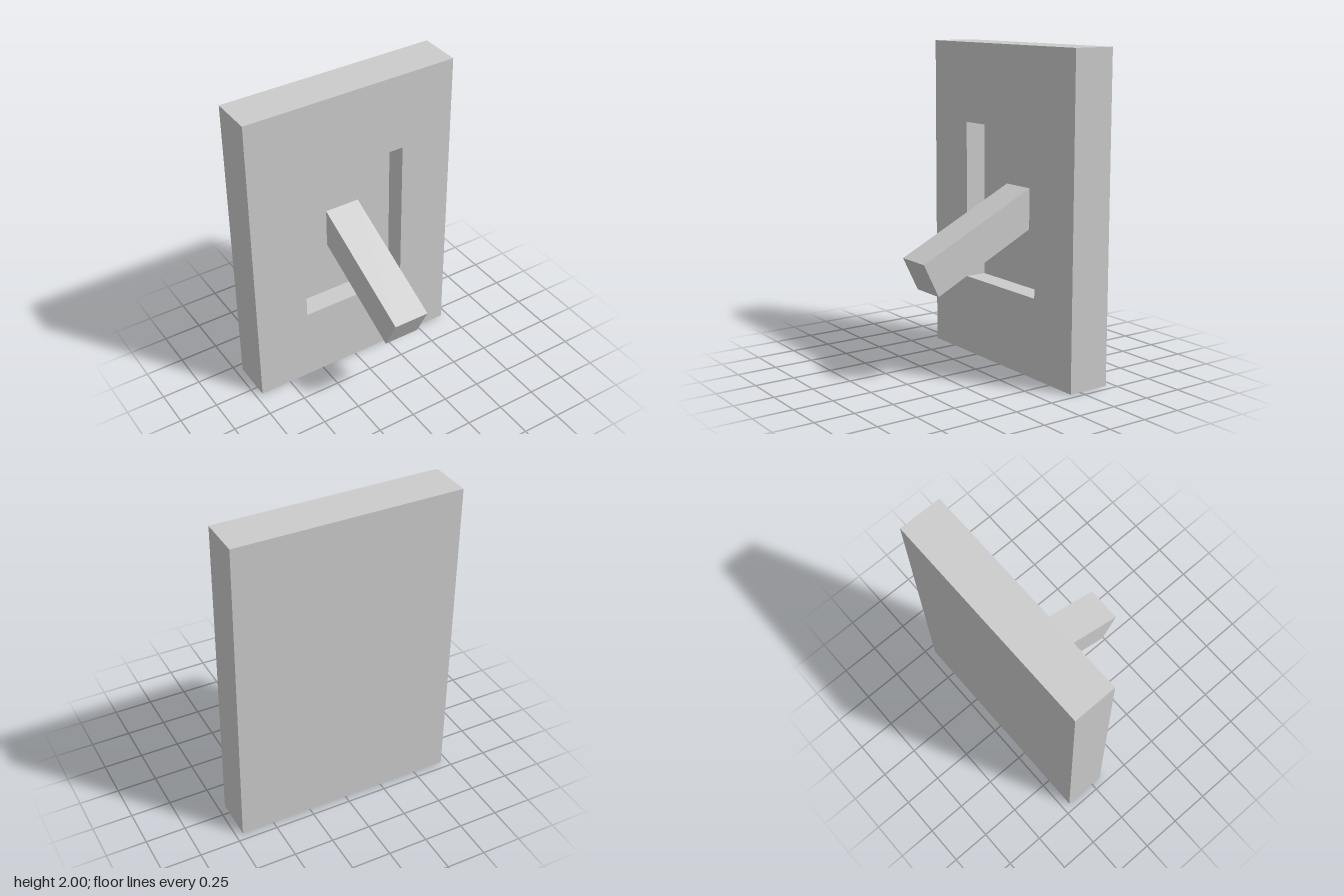
import * as THREE from 'three';

const WIDTH = 1.41, HEIGHT = 2;
const BACK = -0.45, FLOOR = -0.32, FRONT = -0.18;

export function createModel() {
  const model = new THREE.Group();
  const material = new THREE.MeshStandardMaterial({ color: 0xcccccc, flatShading: true });

  const add = (name, geometry, parent) => {
    const mesh = new THREE.Mesh(geometry, material);
    mesh.name = name;
    parent.add(mesh);
    return mesh;
  };

  const rectangle = (path, x0, y0, x1, y1) =>
    path.moveTo(x0, y0).lineTo(x1, y0).lineTo(x1, y1).lineTo(x0, y1).closePath();

  // Wall plate: a solid back with a frame in front that forms the recess
  const plate = new THREE.Group();
  plate.name = 'wallPlate';
  model.add(plate);

  const back = add('plateBack', new THREE.BoxGeometry(WIDTH, HEIGHT, FLOOR - BACK), plate);
  back.position.set(0, HEIGHT / 2, (BACK + FLOOR) / 2);

  const outline = rectangle(new THREE.Shape(), -WIDTH / 2, 0, WIDTH / 2, HEIGHT);
  outline.holes.push(rectangle(new THREE.Path(), -0.353, 0.5, 0.353, 1.5));
  const frame = add('plateFrame', new THREE.ExtrudeGeometry(outline, {
    depth: FRONT - FLOOR, bevelEnabled: false,
  }), plate);
  frame.position.z = FLOOR;

  // Switch lever: tilted down, its inner end sunk into the plate
  const lever = add('switchLever', new THREE.BoxGeometry(0.23, 0.23, 0.872), model);
  lever.position.set(0.003, 0.835, 0.008);
  lever.rotation.x = THREE.MathUtils.degToRad(26.2);

  return model;
}
